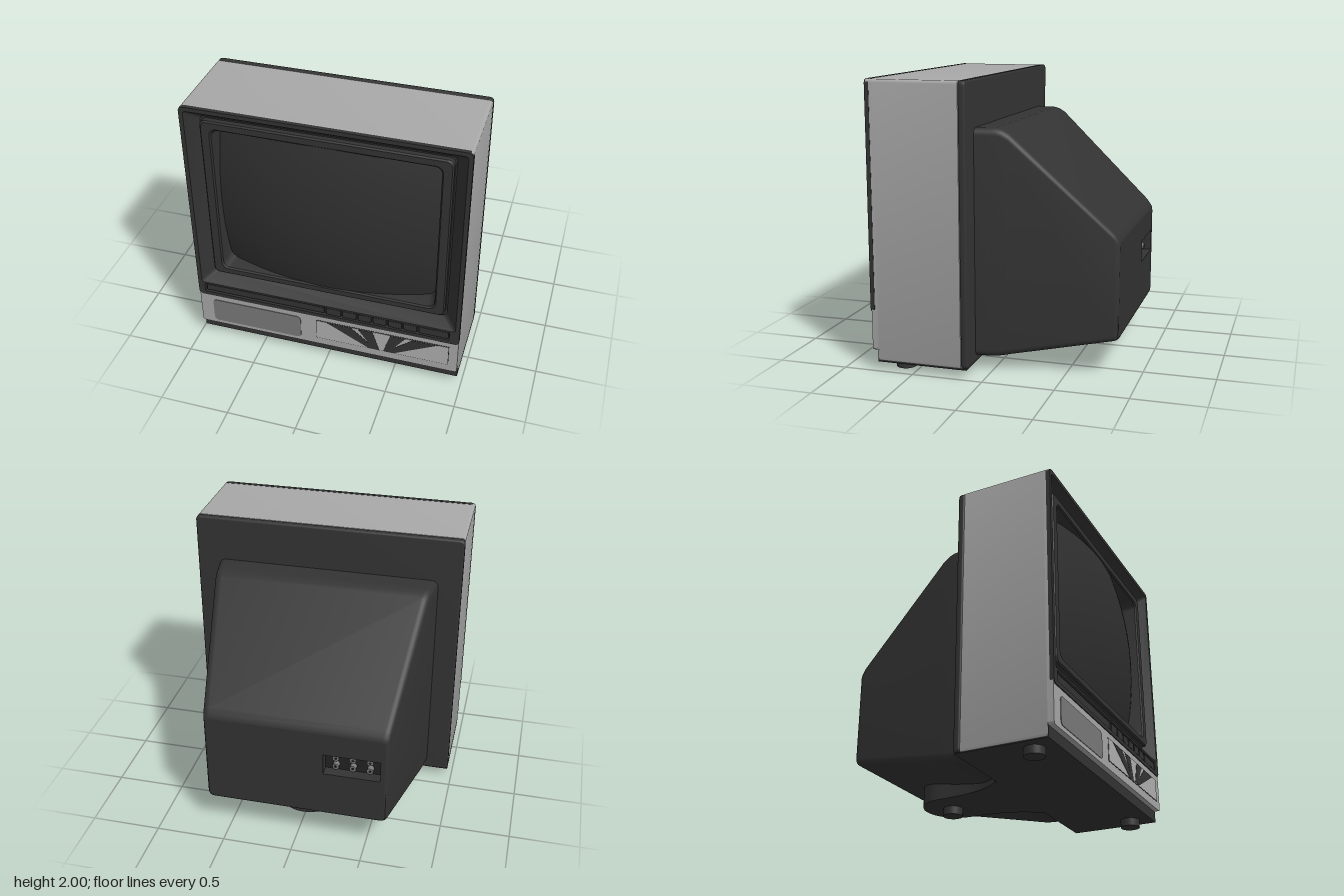
import * as THREE from 'three';
import { toCreasedNormals } from 'three/addons/utils/BufferGeometryUtils.js';

const mat = (name, color, side = THREE.FrontSide) => {
  const m = new THREE.MeshStandardMaterial({ color, side, roughness: 1 });
  m.name = name;
  return m;
};

// Counter-clockwise rounded rectangle, centred on x = 0
function roundRect(hw, y0, y1, r, n = 6) {
  const pts = [];
  const corners = [[hw - r, y0 + r, -1], [hw - r, y1 - r, 0], [r - hw, y1 - r, 1], [r - hw, y0 + r, 2]];
  for (const [cx, cy, q] of corners) {
    for (let i = 0; i <= n; i++) {
      const a = (q + i / n) * Math.PI / 2;
      pts.push(new THREE.Vector2(cx + r * Math.cos(a), cy + r * Math.sin(a)));
    }
  }
  return pts;
}

// Skin through rounded rectangles [halfWidth, bottom, top, radius, z]
function loft(sections, inward = false, crease = 0.6) {
  const pos = [], idx = [];
  const loops = sections.map(([hw, y0, y1, r]) => roundRect(hw, y0, y1, r));
  const n = loops[0].length;
  loops.forEach((loop, k) => loop.forEach(p => pos.push(p.x, p.y, sections[k][4])));
  for (let k = 0; k < loops.length - 1; k++) {
    for (let i = 0; i < n; i++) {
      const a = k * n + i, b = k * n + (i + 1) % n, c = a + n, d = b + n;
      if (inward) idx.push(a, b, c, b, d, c);
      else idx.push(a, c, b, b, c, d);
    }
  }
  const g = new THREE.BufferGeometry();
  g.setAttribute('position', new THREE.Float32BufferAttribute(pos, 3));
  g.setIndex(idx);
  return toCreasedNormals(g, crease);
}

// Flat plate with optional holes, from z0 to z1
function plate(outline, holes, z0, z1, bevel = 0) {
  const s = new THREE.Shape(outline);
  s.holes = holes.map(h => new THREE.Path(h));
  const g = new THREE.ExtrudeGeometry(s, {
    depth: z1 - z0 - 2 * bevel, bevelEnabled: bevel > 0, bevelSize: bevel,
    bevelThickness: bevel, bevelOffset: -bevel, bevelSegments: 3,
  });
  return toCreasedNormals(g.translate(0, 0, z0 + bevel), 0.6);
}

const box = (x0, x1, y0, y1, z0, z1) => new THREE.BoxGeometry(x1 - x0, y1 - y0, z1 - z0)
  .translate((x0 + x1) / 2, (y0 + y1) / 2, (z0 + z1) / 2);

const rect = (x0, x1, y0, y1) => [[x0, y0], [x1, y0], [x1, y1], [x0, y1]].map(p => new THREE.Vector2(...p));

export function createModel() {
  const model = new THREE.Group();
  model.name = 'monitor';
  const dark = mat('darkPlastic', 0x333333);
  const glass = mat('screenGlass', 0x303030);
  const black = mat('blackRecess', 0x222222);
  const grey = mat('greyShell', 0xa8a8a8);
  const mid = mat('speakerGrey', 0x7a7a7a);
  const light = mat('badgeGrey', 0xb0b0b0);
  const add = (name, geo, material, parent = model) => {
    const m = new THREE.Mesh(geo, material);
    m.name = name;
    parent.add(m);
    return m;
  };

  // Cabinet shell, its front step and the rear plate
  const shellHole = rect(-0.955, 0.955, 0.405, 1.985);
  add('shell', plate(roundRect(0.968, 0.06, 1.998, 0.02), [shellHole], 0.16, 0.76), grey);
  add('shellFront', plate(roundRect(0.968, 0.135, 1.998, 0.02), [shellHole], 0.76, 0.803), grey);
  add('rearPlate', plate(roundRect(0.97, 0.06, 2, 0.03), [], 0.11, 0.16, 0.014), dark);
  add('bottomPlate', box(-0.967, 0.967, 0.056, 0.063, 0.12, 0.764), dark);
  add('bottomStrip', box(-0.968, 0.968, 0.06, 0.135, 0.758, 0.764), dark);

  // Front bezel: flat rim with openings, then the stepped well around the tube
  add('bezelRim', plate(roundRect(0.97, 0.405, 2, 0.03),
    [roundRect(0.94, 0.52, 1.97, 0.02), rect(-0.92, 0.9, 0.435, 0.505)], 0.78, 0.81), dark);
  add('bezelWell', loft([
    [0.94, 0.52, 1.97, 0.02, 0.81],
    [0.86, 0.585, 1.905, 0.03, 0.73],
    [0.85, 0.61, 1.895, 0.04, 0.73],
    [0.85, 0.61, 1.895, 0.04, 0.765],
    [0.84, 0.62, 1.885, 0.04, 0.775],
    [0.785, 0.66, 1.84, 0.05, 0.775],
    [0.775, 0.67, 1.83, 0.05, 0.765],
    [0.745, 0.69, 1.81, 0.06, 0.58],
  ], true, 0.4), dark);

  // Bulging picture tube
  const tube = new THREE.PlaneGeometry(1.6, 1.19, 32, 24);
  const p = tube.attributes.position;
  for (let i = 0; i < p.count; i++) p.setZ(i, 0.85 - 0.235 * (p.getX(i) ** 2 + p.getY(i) ** 2));
  tube.computeVertexNormals();
  add('screen', tube.translate(0, 1.25, 0), glass);

  // Control trough and buttons
  add('controlTrough', box(-0.93, 0.91, 0.425, 0.515, 0.77, 0.785), black);
  add('controlCover', box(-0.908, -0.012, 0.445, 0.495, 0.78, 0.801), dark);
  const edges = [0, 0.12, 0.235, 0.345, 0.455, 0.565, 0.675, 0.9];
  for (let i = 0; i < edges.length - 1; i++) {
    add('button', box(edges[i] + 0.008, edges[i + 1] - 0.008, 0.443, 0.497, 0.78, 0.804), dark);
  }

  // Lower front panel with speaker cover and striped badge
  const grille = add('speakerCover', plate(roundRect(0.34, 0.165, 0.36, 0.03), [], 0.8, 0.807), mid);
  grille.position.x = -0.53;
  add('badgeEdge', box(-0.074, 0.904, 0.194, 0.364, 0.8, 0.805), black);
  add('badge', box(-0.07, 0.9, 0.198, 0.36, 0.8, 0.807), light);
  const rays = [[0.01, 0.19, 0.38, 0.32], [0.24, 0.35, 0.4, 0.36]];
  for (const ray of rays) {
    for (const s of [1, -1]) {
      const pts = ray.map((x, i) => new THREE.Vector2(0.415 + s * (x - 0.415), i < 2 ? 0.359 : 0.2));
      add('badgeRay', plate(pts, [], 0.806, 0.809), dark);
    }
  }

  // Tapered rear hood
  const hood = [
    [0.808, 0.1, 1.68, 0.05, 0.13],
    [0.787, 0.1, 1.68, 0.05, 0.0],
    [0.782, 0.102, 1.68, 0.05, -0.03],
    [0.776, 0.108, 1.67, 0.05, -0.07],
    [0.768, 0.117, 1.645, 0.05, -0.115],
    [0.657, 0.244, 0.995, 0.04, -0.81],
    [0.651, 0.25, 0.965, 0.04, -0.833],
    [0.642, 0.259, 0.945, 0.035, -0.846],
    [0.63, 0.27, 0.93, 0.03, -0.85],
  ];
  add('hood', loft(hood), dark);
  const cap = new THREE.Shape(roundRect(0.63, 0.27, 0.93, 0.03));
  cap.holes = [new THREE.Path(rect(0.2, 0.6, 0.6, 0.76))];
  add('hoodBack', new THREE.ShapeGeometry(cap).rotateY(Math.PI).translate(0, 0, -0.85), dark);

  // Recessed socket bay
  const bay = new THREE.Group();
  bay.name = 'socketBay';
  bay.position.x = -0.4;
  model.add(bay);
  add('bayWalls', loft([[0.2, 0.6, 0.76, 0.001, -0.77], [0.2, 0.6, 0.76, 0.001, -0.85]], true), dark, bay);
  add('bayFloor', box(-0.2, 0.2, 0.6, 0.76, -0.77, -0.76), black, bay);
  for (const x of [-0.12, 0, 0.12]) {
    for (const y of [0.645, 0.715]) {
      const jack = (r, l) => new THREE.CylinderGeometry(r, r, l, 16).rotateX(Math.PI / 2).translate(x, y, -0.77 - l / 2);
      add('socket', jack(0.023, 0.04), mid, bay);
      add('socketHole', jack(0.01, 0.042), black, bay);
    }
  }

  // Rear support tongue
  const tongue = new THREE.Shape();
  tongue.moveTo(-0.38, -0.14);
  tongue.lineTo(-0.38, -0.1);
  tongue.quadraticCurveTo(-0.23, 0.05, -0.23, 0.41);
  tongue.absarc(0, 0.41, 0.23, Math.PI, 0, true);
  tongue.quadraticCurveTo(0.23, 0.05, 0.38, -0.1);
  tongue.lineTo(0.38, -0.14);
  const support = new THREE.ExtrudeGeometry(tongue, { depth: 0.19, bevelEnabled: false, curveSegments: 24 });
  add('rearSupport', toCreasedNormals(support.rotateX(-Math.PI / 2).translate(0, 0.058, 0), 0.6), dark);

  // Feet
  for (const [x, z] of [[-0.835, 0.61], [0.835, 0.61], [0, -0.43]]) {
    add('foot', new THREE.CylinderGeometry(0.07, 0.07, 0.062, 24).translate(x, 0.031, z), dark);
  }
  return model;
}
